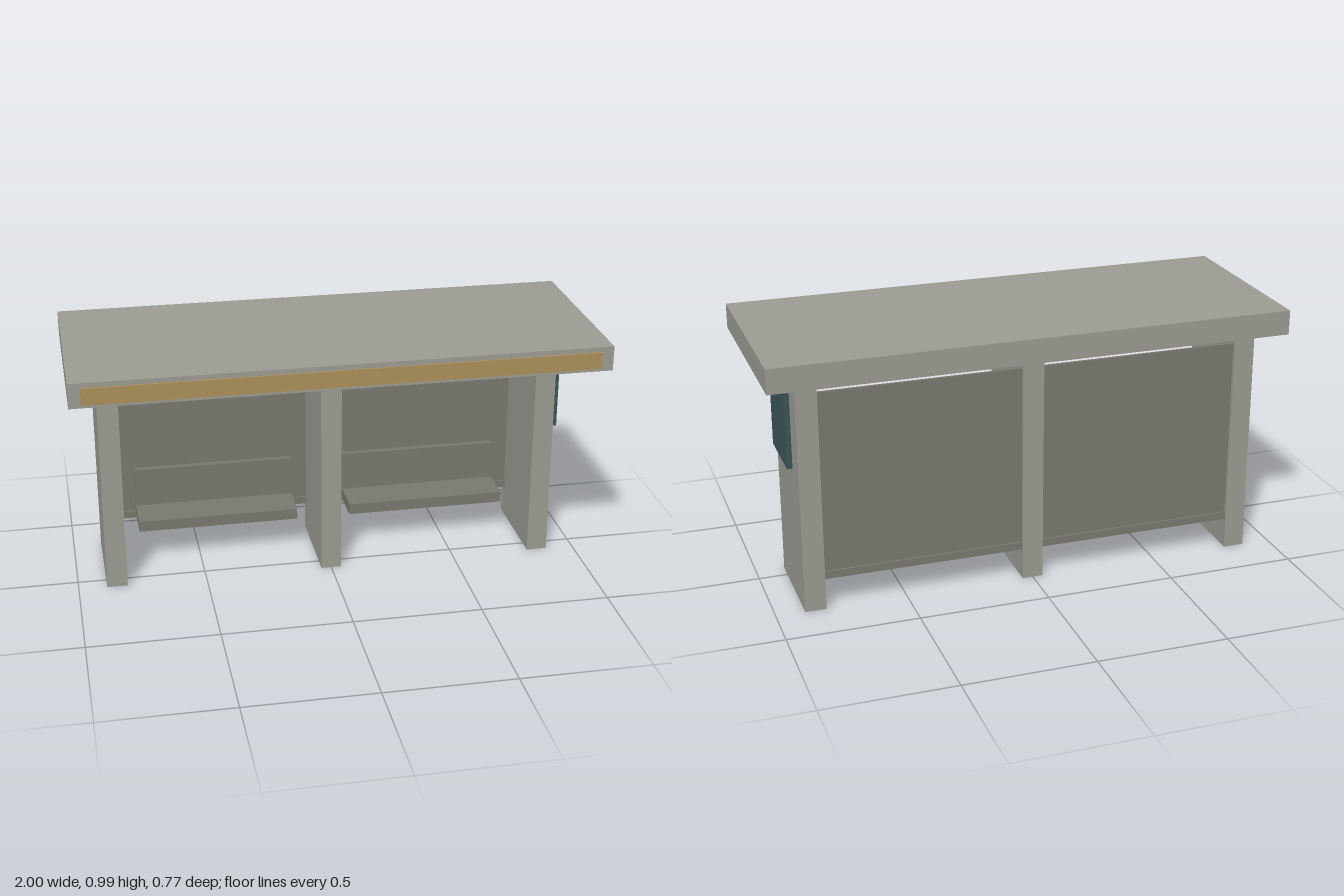
import * as THREE from 'three';

const material = (name, color) => {
  const m = new THREE.MeshStandardMaterial({ color });
  m.name = name;
  return m;
};

export function createModel() {
  const concrete = material('pale concrete', 0x9b9b93);
  const infill = material('dark grey infill', 0x79786f);
  const ochre = material('ochre trim', 0xab8f5a);
  const teal = material('dark teal', 0x3c5557);

  const group = new THREE.Group();
  group.name = 'shelter';

  // Box from its lower and upper limits on each axis
  const box = (name, mat, [x0, x1], [y0, y1], [z0, z1]) => {
    const mesh = new THREE.Mesh(new THREE.BoxGeometry(x1 - x0, y1 - y0, z1 - z0), mat);
    mesh.position.set((x0 + x1) / 2, (y0 + y1) / 2, (z0 + z1) / 2);
    mesh.name = name;
    group.add(mesh);
  };

  // Roof slab and the trim strip along its front edge
  box('roof', concrete, [-1, 1], [0.895, 0.99], [-0.385, 0.379]);
  box('roofTrim', ochre, [-0.955, 0.955], [0.907, 0.971], [0.379, 0.386]);

  // Three upright piers
  for (const x of [-0.85, 0, 0.85]) {
    box('pier', concrete, [x - 0.04, x + 0.04], [0, 0.895], [-0.32, 0.06]);
  }

  // Each bay: back panel, bottom rail, bench seat and backrest
  for (const x of [-0.425, 0.425]) {
    const bay = [x - 0.385, x + 0.385];
    const bench = [x - 0.318, x + 0.318];
    box('backPanel', infill, bay, [0.15, 0.853], [-0.306, -0.294]);
    box('bottomRail', infill, bay, [0.12, 0.15], [-0.314, -0.286]);
    box('benchSeat', infill, bench, [0.14, 0.184], [-0.29, -0.115]);
    box('benchBackrest', infill, bench, [0.184, 0.34], [-0.29, -0.265]);
  }

  // Notice board on the outer face of the left pier
  box('noticeBoard', teal, [0.89, 0.91], [0.535, 0.852], [-0.216, 0.04]);

  return group;
}
